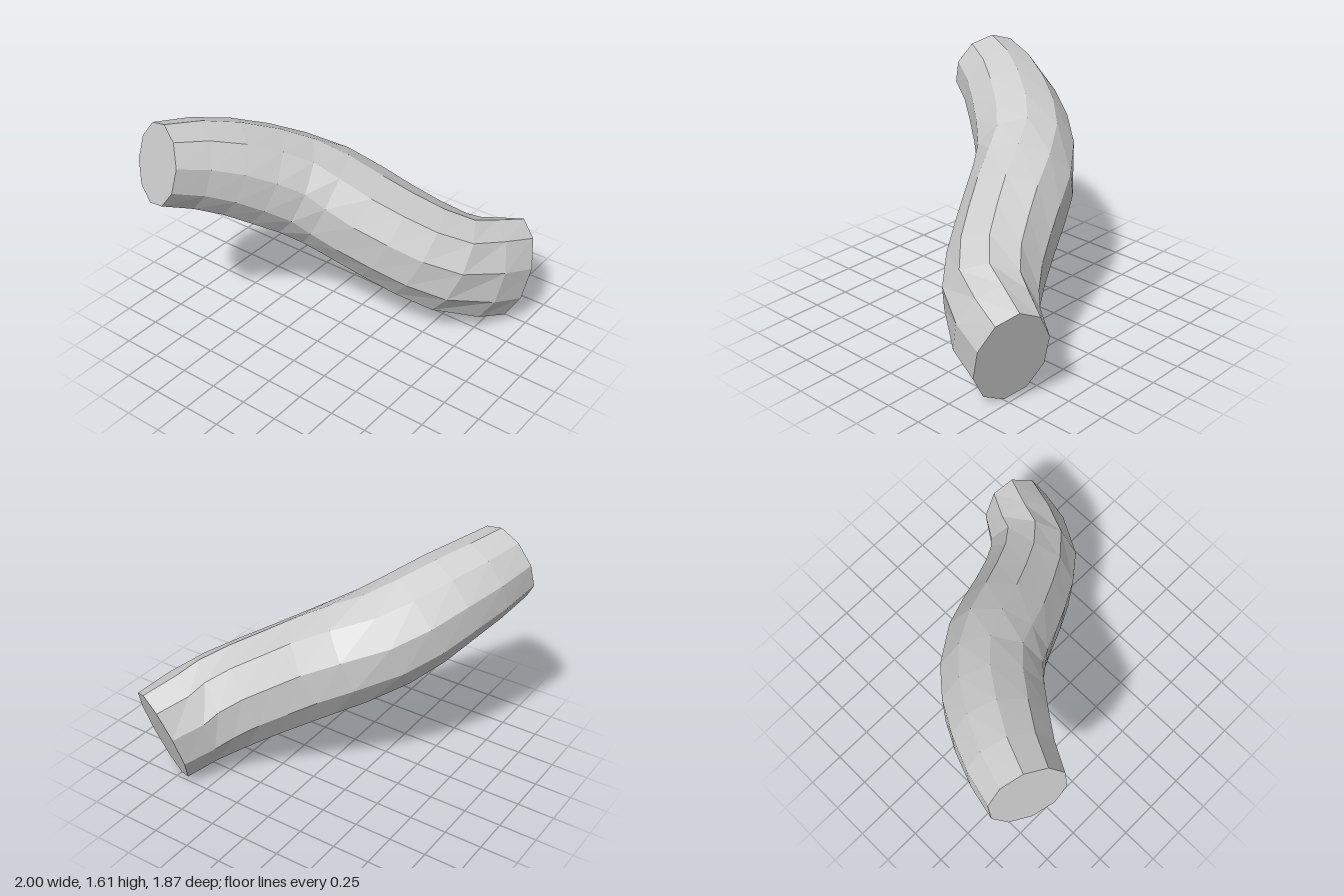
import * as THREE from 'three';

// Centre of each section (x, y, z) with its half height and half width
const SECTIONS = [
  [-0.76, 1.37, 0.82, 0.26, 0.25],
  [-0.68, 1.31, 0.615, 0.285, 0.28],
  [-0.555, 1.22, 0.39, 0.31, 0.31],
  [-0.435, 1.12, 0.21, 0.33, 0.325],
  [-0.26, 1.0, 0.02, 0.34, 0.33],
  [-0.1, 0.91, -0.08, 0.345, 0.335],
  [0.16, 0.75, -0.2, 0.345, 0.325],
  [0.46, 0.57, -0.36, 0.35, 0.31],
  [0.63, 0.465, -0.5, 0.355, 0.295],
  [0.73, 0.4, -0.67, 0.36, 0.26],
  [0.79, 0.353, -0.805, 0.364, 0.237],
];
const SIDES = 10;
const RINGS = 12;

function flatMesh(name, positions, index, material) {
  const indexed = new THREE.BufferGeometry();
  indexed.setAttribute('position', new THREE.Float32BufferAttribute(positions, 3));
  indexed.setIndex(index);
  const geometry = indexed.toNonIndexed();
  geometry.computeVertexNormals();
  const mesh = new THREE.Mesh(geometry, material);
  mesh.name = name;
  return mesh;
}

export function createModel() {
  const group = new THREE.Group();
  group.name = 'curvedTube';
  const grey = new THREE.MeshStandardMaterial({ color: 0xcccccc });
  grey.name = 'grey';

  const path = new THREE.CatmullRomCurve3(SECTIONS.map(([x, y, z]) => new THREE.Vector3(x, y, z)));
  const sizes = new THREE.CatmullRomCurve3(SECTIONS.map((s) => new THREE.Vector3(s[3], s[4], 0)));

  // Oval rings along the path, each kept upright
  const rings = [];
  for (let k = 0; k < RINGS; k++) {
    const t = path.getUtoTmapping(k / (RINGS - 1));
    const center = path.getPoint(t);
    const tangent = path.getTangent(t);
    const size = sizes.getPoint(t);
    const side = new THREE.Vector3().crossVectors(tangent, new THREE.Vector3(0, 1, 0)).normalize();
    const up = new THREE.Vector3().crossVectors(side, tangent).normalize();
    const ring = [];
    for (let i = 0; i < SIDES; i++) {
      const a = (i / SIDES) * Math.PI * 2;
      ring.push(center.clone()
        .addScaledVector(up, size.x * Math.cos(a))
        .addScaledVector(side, size.y * Math.sin(a)));
    }
    rings.push(ring);
  }
  const flatten = (points) => points.flatMap((p) => p.toArray());

  // Faceted wall
  const wall = [];
  for (let k = 0; k < RINGS - 1; k++) {
    for (let i = 0; i < SIDES; i++) {
      const a = k * SIDES + i;
      const b = k * SIDES + ((i + 1) % SIDES);
      wall.push(a, b, a + SIDES, b, b + SIDES, a + SIDES);
    }
  }
  group.add(flatMesh('tubeWall', flatten(rings.flat()), wall, grey));

  // Flat end caps
  const frontCap = [];
  const backCap = [];
  for (let i = 1; i < SIDES - 1; i++) {
    frontCap.push(0, i + 1, i);
    backCap.push(0, i, i + 1);
  }
  group.add(flatMesh('frontCap', flatten(rings[0]), frontCap, grey));
  group.add(flatMesh('backCap', flatten(rings[RINGS - 1]), backCap, grey));
  return group;
}
